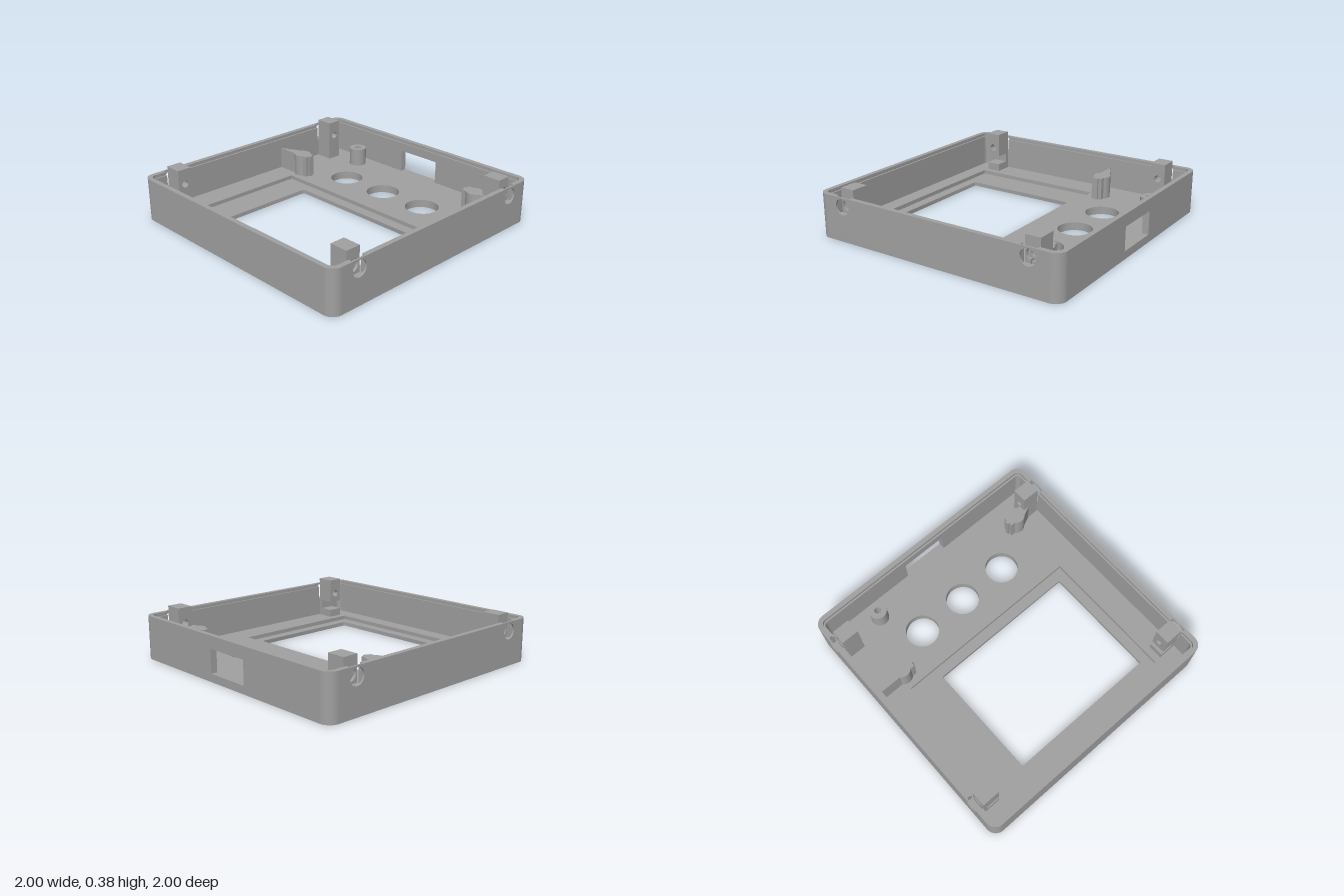
import * as THREE from 'three';
import { toCreasedNormals } from 'three/addons/utils/BufferGeometryUtils.js';

const FLOOR = 0.06, RIM = 0.33, STEP = 0.305, SCREW_Y = 0.26, SCREW_Z = 0.77;

function rectPath(x0, y0, x1, y1, r = 0, Type = THREE.Shape) {
  const s = new Type();
  if (!r) {
    s.moveTo(x0, y0).lineTo(x1, y0).lineTo(x1, y1).lineTo(x0, y1).closePath();
    return s;
  }
  s.moveTo(x0 + r, y0);
  s.absarc(x1 - r, y0 + r, r, -Math.PI / 2, 0);
  s.absarc(x1 - r, y1 - r, r, 0, Math.PI / 2);
  s.absarc(x0 + r, y1 - r, r, Math.PI / 2, Math.PI);
  s.absarc(x0 + r, y0 + r, r, Math.PI, Math.PI * 1.5);
  s.closePath();
  return s;
}

const circle = (x, y, r) => new THREE.Path().absarc(x, y, r, 0, Math.PI * 2, true);

function extrude(shape, depth) {
  return new THREE.ExtrudeGeometry(shape, { depth, bevelEnabled: false, curveSegments: 16 });
}

// Horizontal plan shape (x, z) raised from y0 to y1
const slab = (shape, y0, y1) => extrude(shape, y1 - y0).rotateX(Math.PI / 2).translate(0, y1, 0);
// Upright shape (z, y) spanning x0 to x1
const sidePanel = (shape, x0, x1) => extrude(shape, x1 - x0).rotateY(Math.PI / 2).translate(x0, 0, 0);
// Upright shape (x, y) spanning z0 to z1
const facePanel = (shape, z0, z1) => extrude(shape, z1 - z0).translate(0, 0, z0);

export function createModel() {
  const model = new THREE.Group();
  model.name = 'enclosureShell';
  const grey = new THREE.MeshStandardMaterial({ color: 0xa0a0a0 });
  grey.name = 'grey plastic';

  const add = (name, geometry) => {
    const mesh = new THREE.Mesh(toCreasedNormals(geometry, 0.5), grey);
    mesh.name = name;
    model.add(mesh);
    return mesh;
  };

  // Floor in two layers: the upper one has the recess around the display window
  const dials = () => [-0.4, 0, 0.4].map((x) => circle(x, -0.52, 0.127));
  const base = rectPath(-1, -1, 1, 1, 0.08);
  base.holes.push(rectPath(-0.515, -0.147, 0.675, 0.753, 0.015, THREE.Path), ...dials());
  add('floorLower', slab(base, 0, 0.03));
  const upper = rectPath(-0.955, -0.955, 0.955, 0.955, 0.035);
  upper.holes.push(rectPath(-0.752, -0.227, 0.752, 0.83, 0, THREE.Path), ...dials());
  add('floorUpper', slab(upper, 0.03, FLOOR));

  // Front and back walls, with a stepped rim and a port opening at the back
  for (const [name, side] of [['frontWall', 1], ['backWall', -1]]) {
    for (const [a, b, top] of [[0.963, 1, RIM], [0.95, 0.963, STEP]]) {
      const wall = rectPath(-0.92, 0.03, 0.92, top);
      if (side < 0) wall.holes.push(rectPath(-0.19, FLOOR, 0.17, 0.237, 0, THREE.Path));
      add(name, facePanel(wall, Math.min(a * side, b * side), Math.max(a * side, b * side)));
    }
    const foot = rectPath(-0.92, 0, 0.92, 0.03);
    add(name + 'Foot', facePanel(foot, side > 0 ? 0.963 : -1, side > 0 ? 1 : -0.963));
  }

  // Side walls: outer skin with screw openings, inner layers with pockets behind them
  const pocketed = (top) => {
    const s = new THREE.Shape().moveTo(-0.92, 0.03).lineTo(0.92, 0.03).lineTo(0.92, top);
    for (const z of [SCREW_Z, -SCREW_Z]) {
      s.lineTo(z + 0.06, top).lineTo(z + 0.06, 0.2).lineTo(z - 0.06, 0.2).lineTo(z - 0.06, top);
    }
    s.lineTo(-0.92, top).closePath();
    return s;
  };
  for (const [name, side] of [['leftWall', 1], ['rightWall', -1]]) {
    const skin = rectPath(-0.92, 0, 0.92, RIM);
    skin.holes.push(circle(SCREW_Z, SCREW_Y, 0.06), circle(-SCREW_Z, SCREW_Y, 0.06));
    for (const [shape, a, b] of [
      [skin, 0.987, 1], [pocketed(RIM), 0.963, 0.987], [pocketed(STEP), 0.95, 0.963],
    ]) {
      add(name, sidePanel(shape, Math.min(a * side, b * side), Math.max(a * side, b * side)));
    }
  }

  // Rounded wall corners
  for (let i = 0; i < 4; i++) {
    const a = Math.PI / 4 + (i * Math.PI) / 2;
    const cx = 0.92 * Math.sign(Math.cos(a)), cz = 0.92 * Math.sign(Math.sin(a));
    for (const [inner, outer, top] of [[0.043, 0.08, RIM], [0.03, 0.043, STEP]]) {
      const s = new THREE.Shape();
      s.absarc(cx, cz, outer, a - Math.PI / 4, a + Math.PI / 4, false);
      s.absarc(cx, cz, inner, a + Math.PI / 4, a - Math.PI / 4, true);
      s.closePath();
      add('wallCorner', slab(s, 0, top));
    }
  }

  // Screw posts; the front pair is cut away below for the display board
  for (const side of [1, -1]) {
    for (const z of [SCREW_Z, -SCREW_Z]) {
      const bottom = z > 0 ? 0.19 : 0.05;
      const u = -z; // the side panel runs opposite to z
      const part = (r, a, b) => {
        const s = rectPath(u - 0.057, bottom, u + 0.057, 0.38);
        s.holes.push(circle(u, SCREW_Y, r));
        add('screwPost', sidePanel(s, Math.min(a * side, b * side), Math.max(a * side, b * side)));
      };
      part(0.027, 0.805, 0.92);
      part(0.048, 0.92, 0.942);
      if (z > 0) {
        const foot = new THREE.BoxGeometry(0.137, 0.07, 0.114);
        add('postFoot', foot.translate(side * 0.8735, 0.085, z));
        const web = new THREE.BoxGeometry(0.03, 0.09, 0.114);
        add('postWeb', web.translate(side * 0.927, 0.15, z));
      }
    }
  }

  // Hollow mounting boss
  const boss = new THREE.Shape().absarc(-0.57, -0.82, 0.068, 0, Math.PI * 2);
  boss.holes.push(circle(-0.57, -0.82, 0.025));
  add('mountingBoss', slab(boss, 0.05, 0.2));

  // Support arms reaching in from the side walls, each with a round head and a tab
  const arm = (dir, cz) => {
    const w = 0.042, r = 0.065, cx = -0.73, t = Math.asin(w / r);
    const s = new THREE.Shape().moveTo(-0.955, cz - w);
    s.absarc(cx, cz, r, Math.PI + t, Math.PI * 2 - t, false);
    s.lineTo(-0.645, cz - w).lineTo(-0.645, cz - 0.014).lineTo(-0.63, cz - 0.014);
    s.lineTo(-0.63, cz + 0.014).lineTo(-0.645, cz + 0.014).lineTo(-0.645, cz + w);
    s.absarc(cx, cz, r, t, Math.PI - t, false);
    s.lineTo(-0.955, cz + w).closePath();
    const g = slab(s, 0.05, 0.23);
    if (dir > 0) g.rotateY(Math.PI);
    add('supportArm', g);
  };
  arm(-1, -0.333);
  arm(1, 0.72);

  return model;
}
